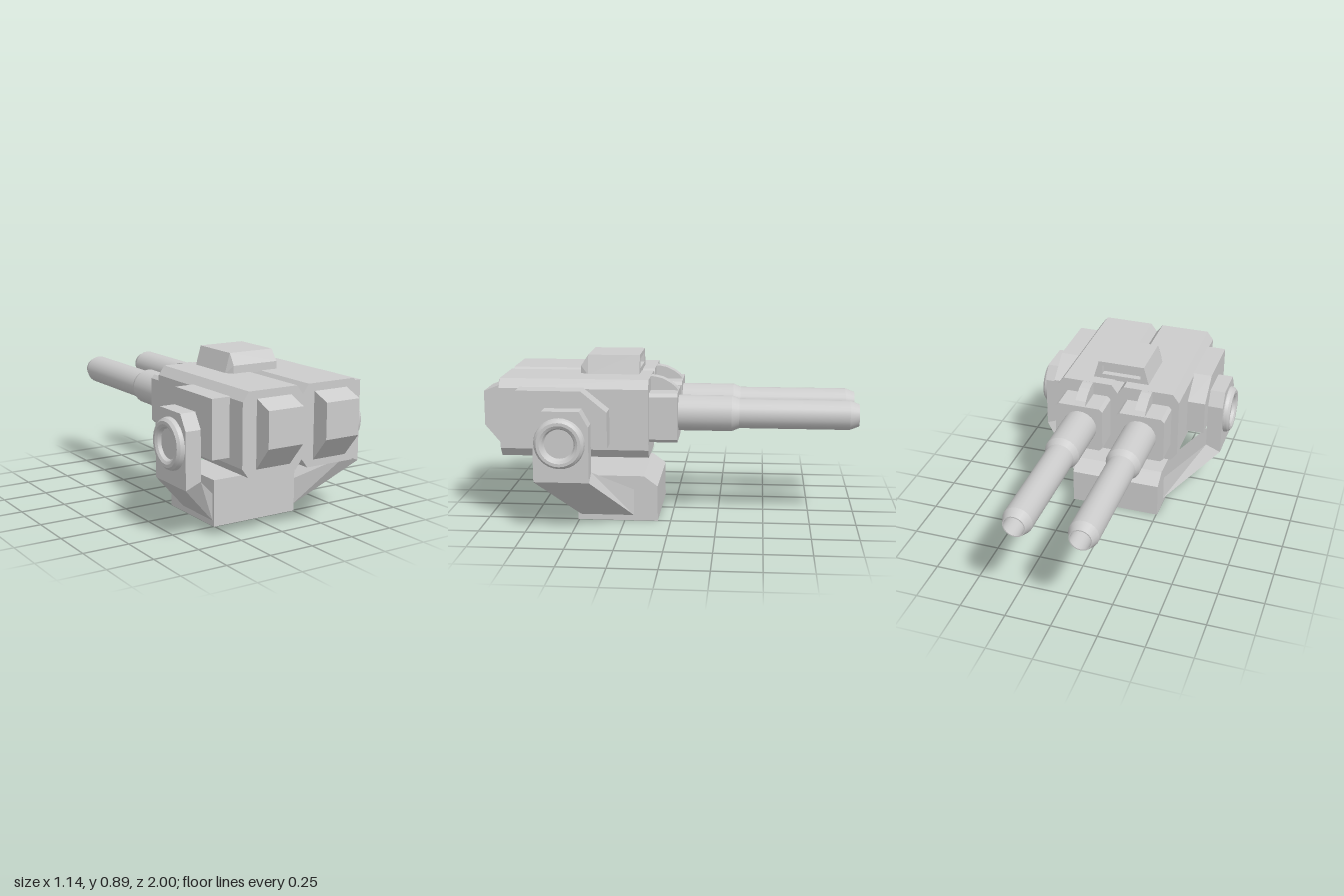
import * as THREE from 'three';
import { ConvexGeometry } from 'three/addons/geometries/ConvexGeometry.js';

const flat = new THREE.MeshStandardMaterial({ color: 0xcccccc, flatShading: true });
const smooth = new THREE.MeshStandardMaterial({ color: 0xcccccc, side: THREE.DoubleSide });

const toShape = (pts) => new THREE.Shape(pts.map(([a, b]) => new THREE.Vector2(a, b)));

// Outline in (x, y), running from z0 to z1
function alongZ(shape, z0, z1) {
  const g = new THREE.ExtrudeGeometry(shape, { depth: z1 - z0, bevelEnabled: false });
  return g.translate(0, 0, z0);
}

// Outline in (z, y), running from x0 to x1
function alongX(pts, x0, x1) {
  const lo = Math.min(x0, x1), hi = Math.max(x0, x1);
  const g = new THREE.ExtrudeGeometry(toShape(pts), { depth: hi - lo, bevelEnabled: false });
  return g.rotateY(-Math.PI / 2).translate(hi, 0, 0);
}

// Rectangle with cut corners, mirrored by side
function cutRect(x0, x1, y0, y1, cx, cy, side) {
  return toShape([
    [x0 + cx, y0], [x1 - cx, y0], [x1, y0 + cy], [x1, y1 - cy],
    [x1 - cx, y1], [x0 + cx, y1], [x0, y1 - cy], [x0, y0 + cy],
  ].map(([x, y]) => [x * side, y]));
}

// Slanted strut between two four-cornered ends
function strutGeometry(side) {
  const top = [[0.535, 0.285, 0.69], [0.45, 0.32, 0.69], [0.45, 0.32, 0.4], [0.535, 0.285, 0.4]];
  const foot = [[0.255, 0.03, 0.49], [0.255, 0.175, 0.49], [0.255, 0.175, 0.2], [0.255, 0.03, 0.2]];
  const pos = [...top, ...foot].flatMap(([x, y, z]) => [x * side, y, z]);
  const tris = [
    [0, 1, 4], [1, 5, 4], [1, 2, 5], [2, 6, 5],
    [2, 3, 7], [2, 7, 6], [3, 0, 4], [3, 4, 7],
    [0, 3, 2], [0, 2, 1], [4, 5, 6], [4, 6, 7],
  ];
  const g = new THREE.BufferGeometry();
  g.setAttribute('position', new THREE.Float32BufferAttribute(pos, 3));
  g.setIndex(tris.flatMap(([a, b, c]) => (side > 0 ? [a, b, c] : [a, c, b])));
  const out = g.toNonIndexed();
  out.computeVertexNormals();
  return out;
}

// Lathe made of separate bands, so the edges between them stay sharp
function turned(name, profile, segments) {
  const group = new THREE.Group();
  group.name = name;
  for (let i = 0; i < profile.length - 1; i++) {
    const band = [profile[i], profile[i + 1]].map(([r, h]) => new THREE.Vector2(r, h));
    const mesh = new THREE.Mesh(new THREE.LatheGeometry(band, segments), smooth);
    mesh.name = name + 'Band';
    group.add(mesh);
  }
  return group;
}

export function createModel() {
  const model = new THREE.Group();
  model.name = 'twinGunTurret';
  const add = (name, geometry) => {
    const mesh = new THREE.Mesh(geometry, flat);
    mesh.name = name;
    model.add(mesh);
  };

  // Pedestal with a sloped rear edge
  add('base', alongX([[0.505, 0], [0.505, 0.25], [0.145, 0.25], [0.07, 0.195], [0.07, 0]], -0.255, 0.255));

  for (const side of [1, -1]) {
    // Half of the hull
    add('hullHalf', alongZ(cutRect(0, 0.35, 0.37, 0.79, 0.035, 0.047, side), 0.11, 0.9));

    // Front block
    add('frontBlock', alongX([[0.89, 0.75], [0.9, 0.75], [1, 0.71], [1, 0.525], [0.9, 0.405], [0.89, 0.405]],
      side * 0.07, side * 0.27));

    // Gun mount and its rounded rib
    add('gunMount', alongZ(cutRect(0.04, 0.31, 0.45, 0.715, 0.018, 0.018, side), -0.04, 0.11));
    add('mountRib', alongX([[0.12, 0.6], [0.12, 0.79], [0.09, 0.789], [0.05, 0.78], [0.01, 0.76],
      [-0.02, 0.738], [-0.04, 0.712], [-0.04, 0.6]], side * 0.14, side * 0.2));

    // Hollow barrel
    const barrel = turned('barrel', [
      [0.096, 0.03], [0.096, 0.325], [0.079, 0.365], [0.079, 0.95],
      [0.06, 1], [0.054, 1], [0.054, 0.85], [0, 0.85],
    ], 24);
    barrel.rotation.x = -Math.PI / 2;
    barrel.position.set(side * 0.17, 0.588, 0);
    model.add(barrel);

    // Side plate
    add('sidePlate', alongX([[0.79, 0.45], [0.79, 0.75], [0.45, 0.75], [0.315, 0.64], [0.315, 0.45]],
      side * 0.345, side * 0.45));

    // Upright arm with an angled lower end
    const arm = alongX([[0.69, 0.285], [0.69, 0.58], [0.64, 0.66], [0.445, 0.66], [0.4, 0.58], [0.4, 0.285]],
      side * 0.45, side * 0.535);
    const p = arm.attributes.position;
    for (let i = 0; i < p.count; i++) {
      if (p.getY(i) < 0.3 && Math.abs(p.getX(i)) < 0.5) p.setY(i, 0.32);
    }
    arm.computeVertexNormals();
    add('arm', arm);
    add('strut', strutGeometry(side));

    // Pivot hub with a dished centre
    const hub = turned('pivotHub', [
      [0.134, 0.53], [0.134, 0.54], [0.129, 0.557], [0.116, 0.57], [0.1, 0.57],
      [0.086, 0.562], [0.077, 0.545], [0, 0.545],
    ], 32);
    hub.rotation.z = -side * Math.PI / 2;
    hub.position.set(0, 0.493, 0.55);
    model.add(hub);
  }

  // Roof sight: solid front and a frame around the rear slot
  const sight = [];
  for (const s of [1, -1]) {
    for (const [x, y, z] of [[0.16, 0.785, 0.21], [0.13, 0.89, 0.21], [0.16, 0.785, 0.455],
      [0.13, 0.89, 0.455], [0.132, 0.83, 0.495], [0.135, 0.785, 0.495]]) {
      sight.push(new THREE.Vector3(s * x, y, z));
    }
  }
  add('roofSight', new ConvexGeometry(sight));
  const frame = toShape([[-0.16, 0.785], [0.16, 0.785], [0.13, 0.89], [-0.13, 0.89]]);
  frame.holes.push(toShape([[-0.11, 0.815], [-0.11, 0.868], [0.11, 0.868], [0.11, 0.815]]));
  add('sightFrame', alongZ(frame, 0.175, 0.21));

  return model;
}
